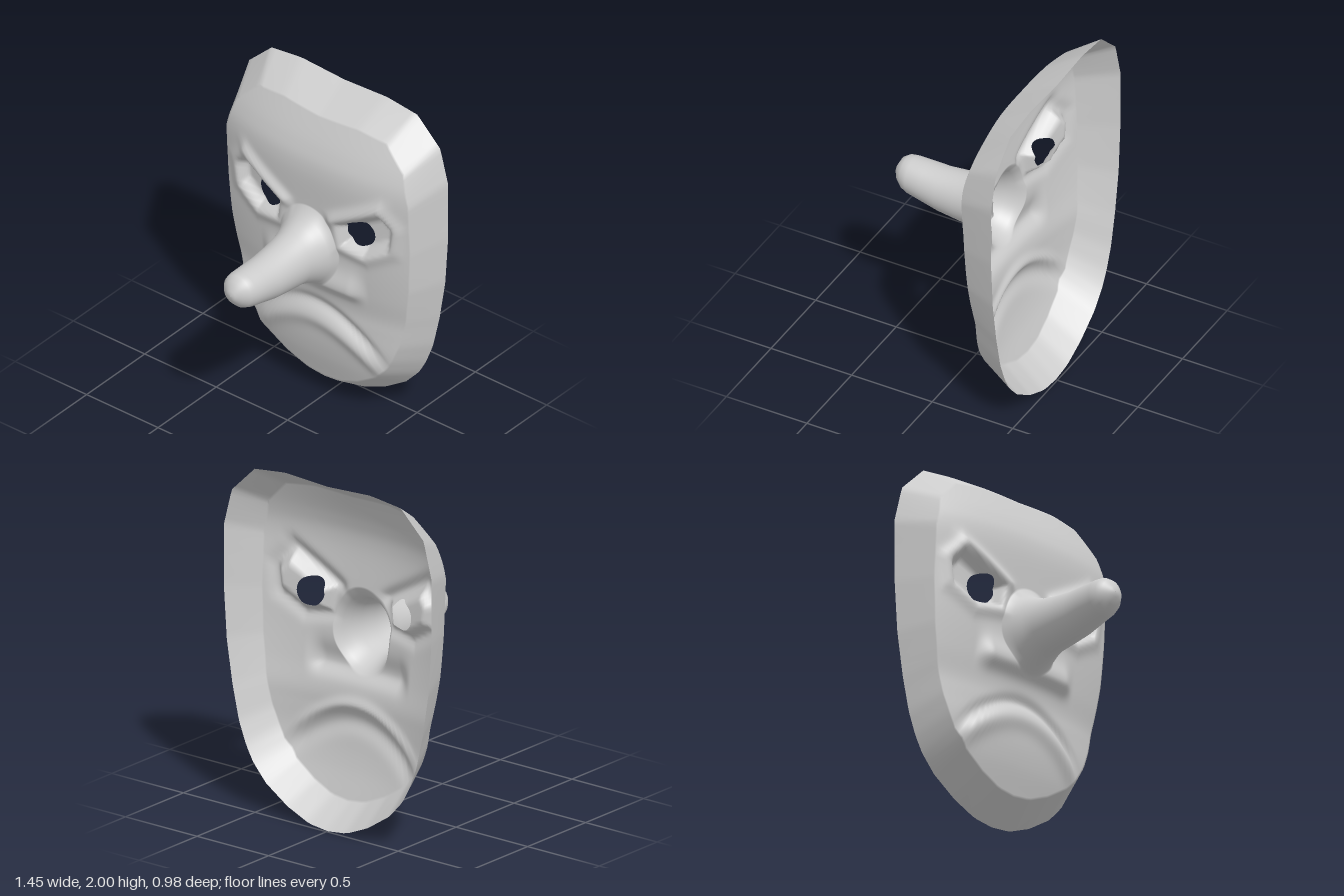
import * as THREE from 'three';

const N = 160;          // points around each ring
const FACE_RINGS = 48;  // rings between nose and face edge
const EYE = { x: 0.317, y: 1.245, r: 0.083 };
const CENTRE_Y = 1.02;

const gauss = (d, w) => Math.exp(-(d * d) / (w * w));
const smooth = THREE.MathUtils.smoothstep;

// right half of the rim, top to bottom
const half = [[0, 1.985], [0.3, 2], [0.51, 1.975], [0.67, 1.82], [0.725, 1.61], [0.725, 1.25],
  [0.705, 0.95], [0.665, 0.7], [0.62, 0.5], [0.57, 0.37], [0.52, 0.28], [0.43, 0.18],
  [0.28, 0.08], [0.13, 0.015], [0, 0]];

// centre-line depth of the face as (height, z)
const profile = new THREE.SplineCurve([[0.1, -0.325], [0.15, -0.31], [0.3, -0.268], [0.45, -0.243],
  [0.6, -0.24], [0.7, -0.238], [0.85, -0.215], [1.05, -0.195], [1.3, -0.182], [1.55, -0.17],
  [1.7, -0.2], [1.9, -0.285]].map(p => new THREE.Vector2(...p))).getPoints(120);

function baseDepth(y) {
  const i = Math.max(1, profile.findIndex(p => p.x >= y));
  const a = profile[i - 1], b = profile[i];
  return THREE.MathUtils.lerp(a.y, b.y, (y - a.x) / (b.x - a.x));
}

// slanted eye socket, counter-clockwise
const socket = [[0.22, 1.15], [0.37, 1.13], [0.52, 1.22], [0.54, 1.35], [0.46, 1.43], [0.2, 1.28]];

function socketDistance(x, y) {
  return Math.max(...socket.map(([ax, ay], i) => {
    const [bx, by] = socket[(i + 1) % socket.length];
    const dx = bx - ax, dy = by - ay;
    return ((x - ax) * dy - (y - ay) * dx) / Math.hypot(dx, dy);
  }));
}

// sculpted face depth
function faceDepth(px, y) {
  const x = Math.abs(px);
  let z = baseDepth(y) - 0.09 * Math.pow(x / 0.64, 2.4);
  // eye socket with raised lid edge
  const d = socketDistance(x, y);
  z += 0.018 * gauss(d - 0.025, 0.04) - 0.05 * (1 - smooth(d, -0.045, 0.015));
  // angry brow
  const along = smooth(x, 0.08, 0.18) * (1 - smooth(x, 0.42, 0.56));
  z += 0.016 * along * gauss(y - (1.21 + 0.56 * x), 0.04);
  // fold beside the nostrils, sharper underneath
  const fold = 1 - smooth(x, 0.26, 0.37);
  z += 0.045 * fold * gauss(y - 0.85, y < 0.85 ? 0.055 : 0.1);
  // downturned mouth: groove above a full lip
  const arch = 0.655 - 0.24 * Math.pow(x / 0.44, 2);
  const mouth = 1 - smooth(x, 0.34, 0.5);
  z += mouth * (0.025 * gauss(y - arch + 0.1, 0.06) - 0.022 * gauss(y - arch, 0.035));
  return z;
}

// nose sections from tip to root: z, centre height, x radius, y radius
const noseRings = [[0.49, 1.08, 0.002, 0.002], [0.487, 1.08, 0.03, 0.03], [0.462, 1.085, 0.07, 0.073],
  [0.43, 1.08, 0.095, 0.099], [0.39, 1.073, 0.108, 0.108], [0.3, 1.061, 0.116, 0.118],
  [0.2, 1.047, 0.123, 0.13], [0.08, 1.045, 0.131, 0.144], [-0.03, 1.05, 0.142, 0.16],
  [-0.09, 1.05, 0.157, 0.182], [-0.14, 1.05, 0.176, 0.207]];

function maskGeometry() {
  const pts = [...half.slice(1).reverse(), ...half.slice(0, -1).map(([x, y]) => [-x, y])];
  // close the loop counter-clockwise: bottom, right, top, left
  const loop = [...half].reverse().concat(half.slice(1, -1).map(([x, y]) => [-x, y]));
  loop.push(pts[0]);
  const rim = new THREE.Shape(loop.map(p => new THREE.Vector2(...p))).getSpacedPoints(N).slice(0, N);
  const angles = rim.map(p => Math.atan2(p.y - CENTRE_Y, p.x));
  const pos = [], inside = [], index = [];
  const add = (x, y, z, cut = false) => { pos.push(x, y, z); inside.push(cut); };

  // nose
  for (const [z, cy, rx, ry] of noseRings)
    for (const a of angles) add(rx * Math.cos(a), cy + ry * Math.sin(a), z);

  // face, with points inside an eye opening pushed to its edge
  for (let i = 0; i <= FACE_RINGS; i++) {
    const t = i / FACE_RINGS;
    rim.forEach((p, j) => {
      const a = angles[j];
      let x = THREE.MathUtils.lerp(0.195 * Math.cos(a), p.x * 0.88, t);
      let y = THREE.MathUtils.lerp(1.065 + 0.245 * Math.sin(a), CENTRE_Y + (p.y - CENTRE_Y) * 0.88, t);
      const ex = Math.sign(x) * EYE.x, dx = x - ex, dy = y - EYE.y, d = Math.hypot(dx, dy);
      const cut = d < EYE.r;
      if (cut) {
        x = ex + dx / d * EYE.r;
        y = EYE.y + dy / d * EYE.r;
      }
      add(x, y, faceDepth(x, y), cut);
    });
  }

  // side wall out to the open back
  for (const p of rim) add(p.x, p.y, -0.49);

  const rings = pos.length / 3 / N;
  const tri = (a, b, c) => { if (!(inside[a] && inside[b] && inside[c])) index.push(a, b, c); };
  for (let i = 0; i < rings - 1; i++)
    for (let j = 0; j < N; j++) {
      const k = (j + 1) % N, a = i * N + j, b = a + N, c = (i + 1) * N + k, d = i * N + k;
      tri(a, b, c);
      tri(a, c, d);
    }

  const geo = new THREE.BufferGeometry();
  geo.setAttribute('position', new THREE.Float32BufferAttribute(pos, 3));
  geo.setIndex(index);
  geo.computeVertexNormals();
  return geo;
}

export function createModel() {
  const group = new THREE.Group();
  group.name = 'mask';
  const grey = new THREE.MeshStandardMaterial({ color: 0xcccccc, side: THREE.DoubleSide });
  grey.name = 'plain grey';
  const shell = new THREE.Mesh(maskGeometry(), grey);
  shell.name = 'maskShell';
  group.add(shell);
  return group;
}
